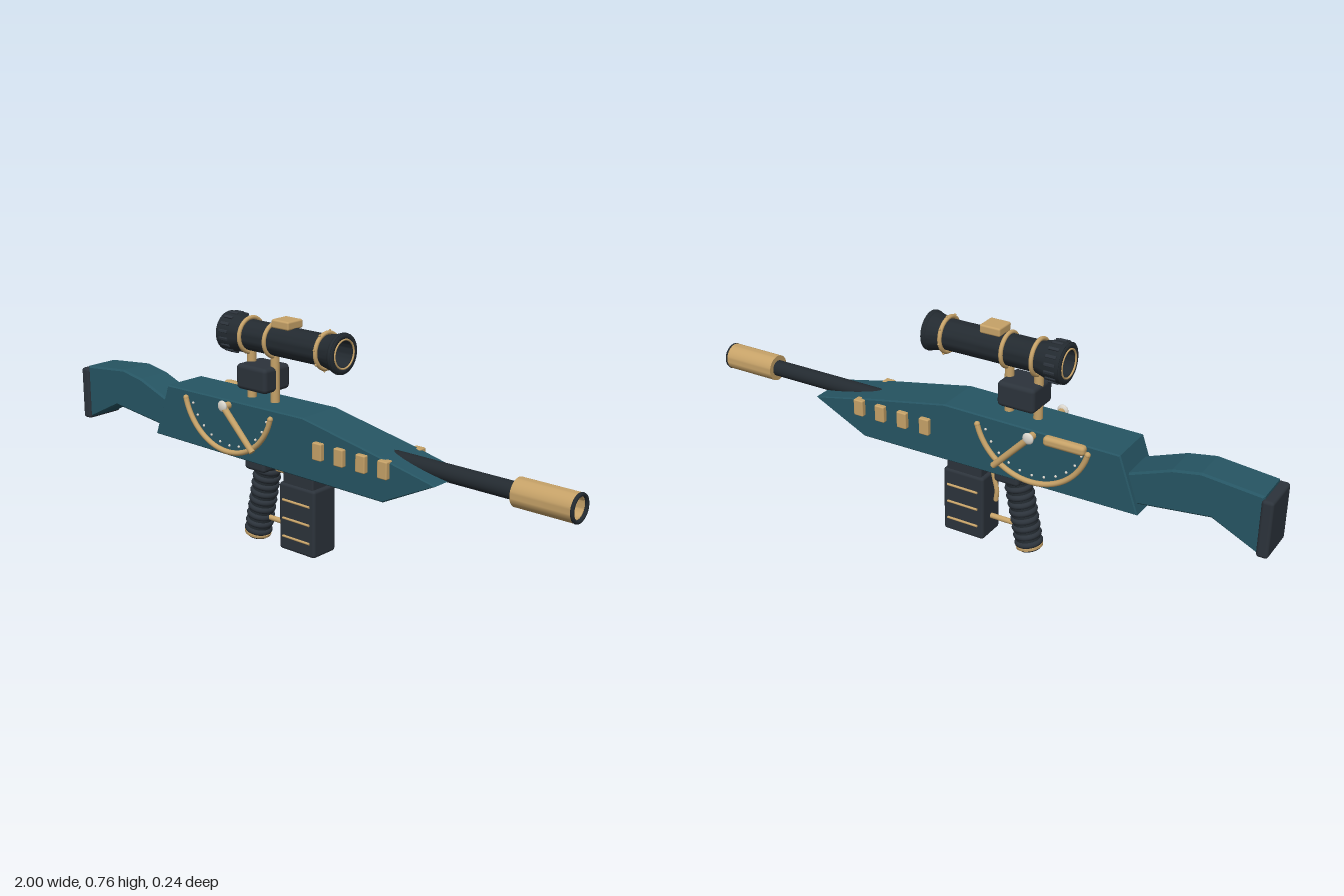
import * as THREE from 'three';
import { toCreasedNormals } from 'three/addons/utils/BufferGeometryUtils.js';
import { RoundedBoxGeometry } from 'three/addons/geometries/RoundedBoxGeometry.js';

export function createModel() {
  const root = new THREE.Group();
  const mat = (name, color) => {
    const m = new THREE.MeshStandardMaterial({ color });
    m.name = name;
    return m;
  };
  const teal = mat('teal', 0x265563);
  const dark = mat('charcoal', 0x2c333b);
  const gun = mat('gunmetal', 0x232a30);
  const gold = mat('brass', 0xc6a268);
  const ivory = mat('ivory', 0xd9d5cc);

  const add = (name, geo, m, x = 0, y = 0, z = 0, parent = root) => {
    const mesh = new THREE.Mesh(geo, m);
    mesh.name = name;
    mesh.position.set(x, y, z);
    parent.add(mesh);
    return mesh;
  };
  const box = (name, m, w, h, d, x, y, z, r = 0.005, parent = root) =>
    add(name, new RoundedBoxGeometry(w, h, d, 2, r), m, x, y, z, parent);
  // Side outline extruded across z with a slight bevel
  const slab = (name, pts, half, bevel) => {
    const shape = new THREE.Shape(pts.map(p => new THREE.Vector2(...p)));
    const geo = new THREE.ExtrudeGeometry(shape, {
      depth: 2 * (half - bevel), bevelThickness: bevel, bevelSize: bevel,
      bevelOffset: -bevel, bevelSegments: 1,
    });
    geo.translate(0, 0, -half + bevel);
    return add(name, geo, teal);
  };
  // Profile of [position along x, radius], turned about a horizontal axis
  const turned = (name, pts, m, y, parent = root) => {
    const geo = new THREE.LatheGeometry(pts.map(([x, r]) => new THREE.Vector2(r, x)), 40);
    geo.rotateZ(-Math.PI / 2);
    return add(name, toCreasedNormals(geo, 0.5), m, 0, y, 0, parent);
  };
  const ringX = (name, m, r, t, x, y, parent = root) => {
    const geo = new THREE.TorusGeometry(r, t, 10, 40);
    geo.rotateY(Math.PI / 2);
    return add(name, geo, m, x, y, 0, parent);
  };
  // Round bar between two points
  const rod = (name, m, a, b, r0, r1 = r0, parent = root) => {
    const p = new THREE.Vector3(...a), q = new THREE.Vector3(...b);
    const mesh = add(name, new THREE.CylinderGeometry(r1, r0, p.distanceTo(q), 20), m, 0, 0, 0, parent);
    mesh.position.copy(p).add(q).multiplyScalar(0.5);
    mesh.quaternion.setFromUnitVectors(new THREE.Vector3(0, 1, 0), q.sub(p).normalize());
    return mesh;
  };

  // Receiver and stock
  slab('receiver', [[-0.6, 0.298], [0.385, 0.29], [0.575, 0.385], [0.37, 0.43],
    [0.07, 0.488], [-0.535, 0.481]], 0.08, 0.004);
  slab('stock', [[-0.97, 0.278], [-0.82, 0.352], [-0.5, 0.315], [-0.5, 0.4],
    [-0.69, 0.471], [-0.78, 0.487], [-0.97, 0.468]], 0.063, 0.006);
  box('buttPlate', dark, 0.037, 0.185, 0.142, -0.981, 0.367, 0, 0.01);

  // Barrel and hollow muzzle
  const barrelY = 0.404;
  rod('barrel', gun, [0.3, barrelY, 0], [0.9, barrelY, 0], 0.027);
  turned('muzzle', [[0.8, 0.02], [0.8, 0.044], [0.99, 0.044], [0.99, 0.032],
    [0.91, 0.032], [0.91, 0]], gold, barrelY);
  ringX('muzzleRim', gun, 0.039, 0.006, 0.994, barrelY);
  add('bore', new THREE.CircleGeometry(0.031, 32), gun, 0.912, barrelY, 0).rotation.y = Math.PI / 2;

  // Brass vents along both sides
  for (const s of [1, -1])
    for (const x of [0.14, 0.225, 0.31, 0.393])
      box('vent', gold, 0.036, 0.056, 0.03, x, 0.397, s * 0.081, 0.004);

  // Hollow scope with flared ends
  const scope = new THREE.Group();
  scope.name = 'scope';
  root.add(scope);
  const sy = 0.69;
  turned('scopeTube', [[-0.315, 0.042], [-0.315, 0.065], [-0.27, 0.063], [-0.225, 0.05],
    [0.1, 0.05], [0.165, 0.064], [0.165, 0.042], [-0.315, 0.042]], gun, sy, scope);
  ringX('frontRim', gun, 0.0535, 0.0115, 0.158, sy, scope);
  ringX('rearRim', gun, 0.0535, 0.0115, -0.308, sy, scope);
  for (const [x, r] of [[-0.22, 0.056], [-0.115, 0.053], [0.1, 0.056]])
    ringX('scopeBand', gold, r, 0.007, x, sy, scope);
  for (const x of [0.168, -0.318]) ringX('lensRing', gold, 0.045, 0.003, x, sy, scope);
  for (let i = 0; i < 16; i++) {
    const a = (i + 0.5) * Math.PI / 8;
    const k = box('knurl', dark, 0.036, 0.008, 0.01, -0.285,
      sy + 0.064 * Math.cos(a), 0.064 * Math.sin(a), 0.002, scope);
    k.rotation.x = a;
    if (i % 2) add('bandStud', new THREE.SphereGeometry(0.004, 8, 6), gold, 0.1,
      sy + 0.063 * Math.cos(a), 0.063 * Math.sin(a), scope);
  }
  box('adjuster', gold, 0.072, 0.028, 0.07, -0.065, 0.75, 0, 0.006, scope);

  // Scope mount
  for (const x of [-0.219, -0.117])
    rod('mountPost', gold, [x, 0.46, 0], [x, 0.645, 0], 0.015);
  box('mountBlock', dark, 0.13, 0.083, 0.12, -0.17, 0.563, 0, 0.014);

  // Dial on each side: arc, ticks, needle and hub
  const cx = -0.246, cy = 0.508, R = 0.196;
  const onArc = (a, r, z) => new THREE.Vector3(cx + r * Math.cos(a), cy + r * Math.sin(a), z);
  const a0 = Math.PI + 0.25, a1 = 2 * Math.PI - 0.25;
  for (const s of [1, -1]) {
    const dial = new THREE.Group();
    dial.name = s > 0 ? 'leftDial' : 'rightDial';
    root.add(dial);
    const pts = [];
    for (let i = 0; i <= 24; i++) pts.push(onArc(a0 + (a1 - a0) * i / 24, R, s * 0.09));
    add('dialArc', new THREE.TubeGeometry(new THREE.CatmullRomCurve3(pts), 48, 0.009, 10), gold, 0, 0, 0, dial);
    for (const p of [pts[0], pts[24]])
      add('arcEnd', new THREE.SphereGeometry(0.0095, 12, 8), gold, p.x, p.y, p.z, dial);
    for (let i = 0; i <= 10; i++) {
      const p = onArc(a0 + 0.12 + (a1 - a0 - 0.24) * i / 10, R - 0.019, s * 0.081);
      add('tick', new THREE.SphereGeometry(0.0045, 8, 6), ivory, p.x, p.y, p.z, dial);
    }
    rod('needle', gold, [cx, 0.468, s * 0.106], [-0.122, 0.34, s * 0.104], 0.011, 0.01, dial);
    rod('needlePivot', gold, [cx, 0.468, s * 0.07], [cx, 0.468, s * 0.106], 0.012, 0.012, dial);
    add('hub', new THREE.SphereGeometry(0.019, 20, 14), ivory, cx, 0.47, s * 0.11, dial).scale.z = 0.45;
  }
  // Bolt handle on the right side only
  box('boltHandle', gold, 0.14, 0.032, 0.03, -0.36, 0.471, -0.091, 0.012);

  // Ribbed, tilted grip
  const grip = new THREE.Group();
  grip.name = 'grip';
  grip.position.set(-0.2, 0.016, 0);
  grip.rotation.z = -0.2;
  root.add(grip);
  add('gripCore', new THREE.CylinderGeometry(0.04, 0.04, 0.27, 28), gun, 0, 0.14, 0, grip);
  for (let i = 0; i < 9; i++) {
    const rib = add('gripRib', new THREE.TorusGeometry(0.036, 0.011, 10, 32), dark, 0, 0.02 + i * 0.028, 0, grip);
    rib.rotation.x = Math.PI / 2;
  }
  add('gripCap', new THREE.CylinderGeometry(0.045, 0.044, 0.008, 32), gold, 0, 0.006, 0, grip);
  add('gripFoot', new THREE.CylinderGeometry(0.041, 0.036, 0.008, 32), gun, 0, -0.001, 0, grip);
  box('gripCollar', dark, 0.088, 0.04, 0.142, -0.147, 0.282, 0, 0.012);

  // Magazine with brass bars
  box('magazineWell', dark, 0.128, 0.08, 0.094, 0.02, 0.275, 0, 0.006);
  box('magazine', dark, 0.15, 0.228, 0.106, 0.02, 0.131, 0, 0.01);
  for (const y of [0.19, 0.128, 0.066])
    for (const z of [0.056, -0.056])
      rod('magazineBar', gold, [-0.035, y, z], [0.077, y, z], 0.004);

  // Trigger and guard bars
  rod('lowerBar', gold, [-0.16, 0.085, 0], [-0.04, 0.085, 0], 0.009);
  rod('upperBar', gold, [-0.13, 0.262, 0], [-0.03, 0.262, 0], 0.009);
  const trig = new THREE.CatmullRomCurve3([[-0.056, 0.27], [-0.066, 0.225], [-0.075, 0.185], [-0.072, 0.15]]
    .map(([x, y]) => new THREE.Vector3(x, y, 0)));
  add('trigger', new THREE.TubeGeometry(trig, 16, 0.008, 10), gold);
  add('triggerTip', new THREE.SphereGeometry(0.008, 12, 8), gold, -0.072, 0.15, 0);

  return root;
}
